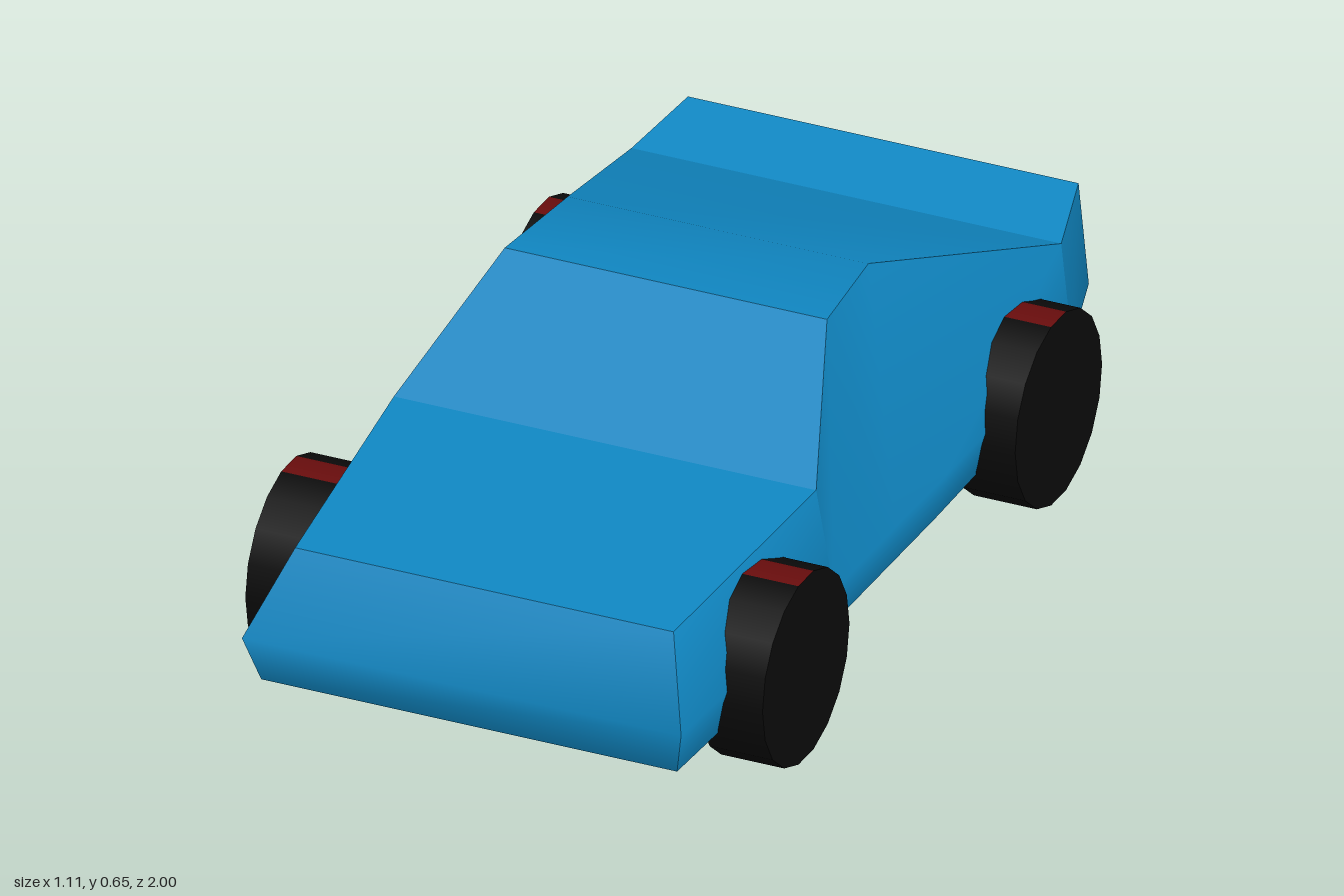
import * as THREE from 'three';

const paint = new THREE.MeshStandardMaterial({ color: 0x1088c4 });
const rubber = new THREE.MeshStandardMaterial({ color: 0x0b0b0b });
const red = new THREE.MeshStandardMaterial({ color: 0x6a0d0d });

// Smooth sheet through rows of points; separate sheets meet at sharp edges
function sheet(name, rows) {
  const n = rows[0].length, index = [];
  for (let i = 0; i < rows.length - 1; i++) {
    for (let j = 0; j < n - 1; j++) {
      const a = i * n + j, b = a + 1, d = a + n, c = d + 1;
      index.push(a, d, b, b, d, c);
    }
  }
  const geo = new THREE.BufferGeometry();
  geo.setAttribute('position', new THREE.Float32BufferAttribute(rows.flat(2), 3));
  geo.setIndex(index);
  geo.computeVertexNormals();
  const mesh = new THREE.Mesh(geo, paint);
  mesh.name = name;
  return mesh;
}

const flip = ([x, y, z]) => [-x, y, z];

function createBody() {
  const body = new THREE.Group();
  body.name = 'body';

  // Left half of the shell, columns running from nose to tail
  const top = [
    [0.405, 0.385, 0.895], [0.452, 0.435, 0.34], [0.345, 0.65, 0.06],
    [0.322, 0.65, -0.18], [0.46, 0.435, -0.77], [0.418, 0.475, -0.94],
  ];
  const belt = [
    [0.47, 0.222, 1], [0.49, 0.222, 0.34], [0.49, 0.222, 0.06],
    [0.49, 0.222, -0.18], [0.483, 0.222, -0.77], [0.412, 0.222, -1],
  ];
  const sill = [
    [0.445, 0.12, 0.965], [0.465, 0.12, 0.34], [0.465, 0.12, 0.06],
    [0.465, 0.12, -0.18], [0.455, 0.12, -0.77], [0.395, 0.12, -0.94],
  ];

  // Panels that cross the car from side to side
  const across = {
    nose: [sill[0], belt[0], top[0]],
    hood: [top[0], top[1]],
    windshield: [top[1], top[2]],
    roofAndRearSlope: [top[2], top[3], top[4]],
    rearDeck: [top[4], top[5]],
    tail: [top[5], belt[5], sill[5]],
    underside: [...sill].reverse(),
  };
  for (const [name, edge] of Object.entries(across)) {
    body.add(sheet(name, edge.map((p) => [p, flip(p)])));
  }

  // Side panels, mirrored
  const spans = { FrontFender: [0, 2], Door: [1, 5], RearFender: [4, 6] };
  for (const [name, [from, to]] of Object.entries(spans)) {
    const rows = [top, belt, sill].map((r) => r.slice(from, to));
    body.add(sheet('left' + name, rows));
    body.add(sheet('right' + name, rows.map((r) => r.map(flip).reverse())));
  }
  return body;
}

function createWheel(name, x, z) {
  const R = 0.2, W = 0.135, SIDES = 18, step = (2 * Math.PI) / SIDES;
  const wheel = new THREE.Group();
  wheel.name = name;
  const add = (part, geo, mat) => {
    const mesh = new THREE.Mesh(geo, mat);
    mesh.name = part;
    wheel.add(mesh);
  };
  // Tread with one red facet on top
  const band = (segments, start) =>
    new THREE.CylinderGeometry(R, R, W, segments, 1, true, start, segments * step).rotateZ(Math.PI / 2);
  add('tread', band(SIDES - 1, Math.PI / 2 + step / 2), rubber);
  add('topMark', band(1, Math.PI / 2 - step / 2), red);
  // Flat faces of the wheel
  for (const s of [1, -1]) {
    add(s > 0 ? 'leftFace' : 'rightFace',
      new THREE.CircleGeometry(R, SIDES).rotateY(s * Math.PI / 2).translate(s * W / 2, 0, 0), rubber);
  }
  wheel.position.set(x, R * Math.cos(step / 2), z);
  return wheel;
}

export function createModel() {
  const car = new THREE.Group();
  car.name = 'car';
  car.add(createBody());
  for (const [side, x] of [['left', 0.486], ['right', -0.486]]) {
    car.add(createWheel(side + 'FrontWheel', x, 0.605));
    car.add(createWheel(side + 'RearWheel', x, -0.557));
  }
  return car;
}
